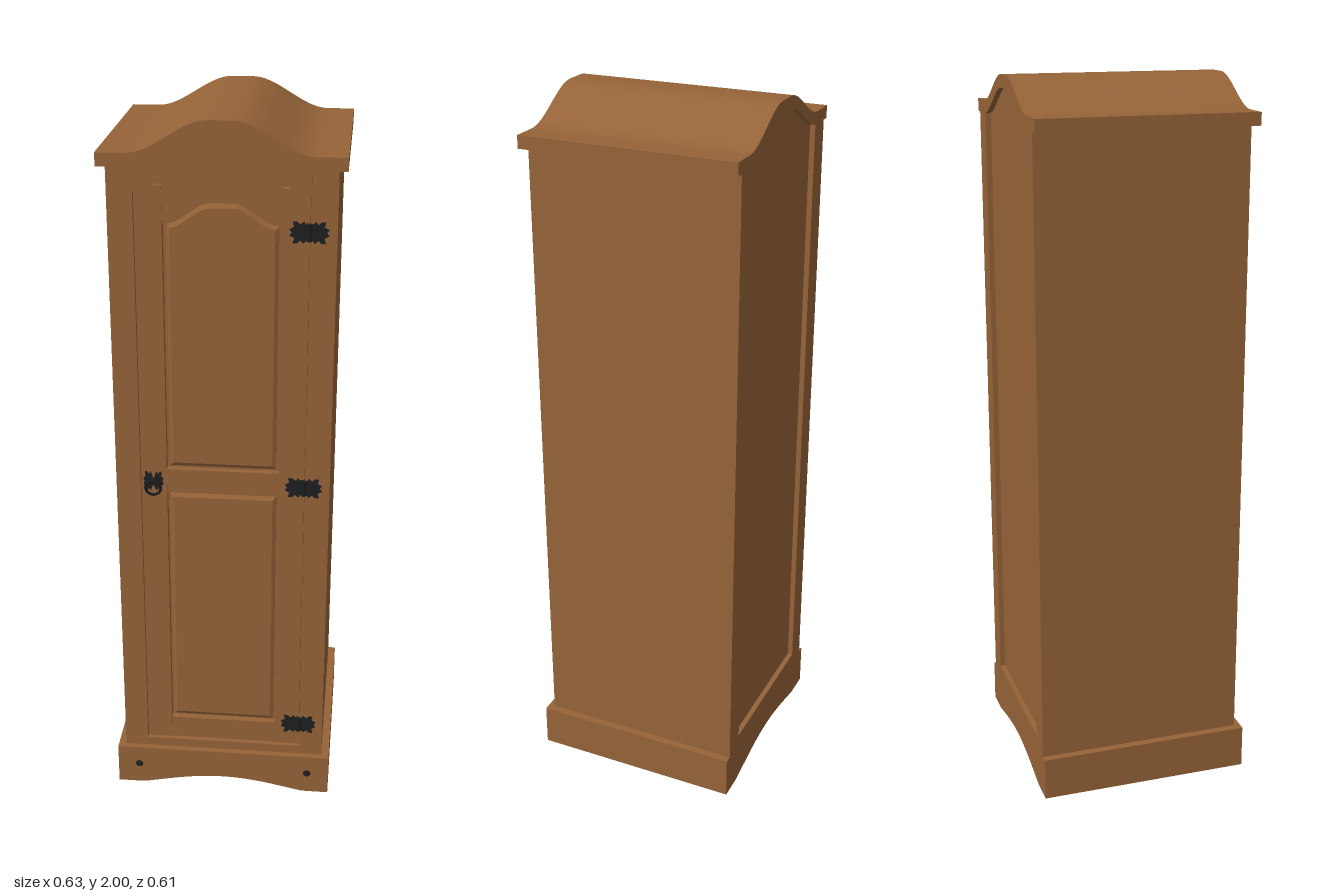
import * as THREE from 'three';
import { toCreasedNormals } from 'three/addons/utils/BufferGeometryUtils.js';

export function createModel() {
  const group = new THREE.Group();
  const wood = new THREE.MeshStandardMaterial({ color: 0x966338 });
  wood.name = 'waxedPine';
  const iron = new THREE.MeshStandardMaterial({ color: 0x1d1e20 });
  iron.name = 'blackIron';

  const add = (name, geometry, material = wood, parent = group) => {
    const mesh = new THREE.Mesh(geometry, material);
    mesh.name = name;
    parent.add(mesh);
    return mesh;
  };
  const box = (name, x0, x1, y0, y1, z0, z1) =>
    add(name, new THREE.BoxGeometry(x1 - x0, y1 - y0, z1 - z0)
      .translate((x0 + x1) / 2, (y0 + y1) / 2, (z0 + z1) / 2));
  const shapeOf = (pts) => new THREE.Shape(pts.map(([x, y]) => new THREE.Vector2(x, y)));
  const extrude = (name, pts, z0, z1) => {
    const g = new THREE.ExtrudeGeometry(shapeOf(pts), { depth: z1 - z0, bevelEnabled: false });
    return add(name, toCreasedNormals(g.translate(0, 0, z0), 0.5));
  };

  // Curves as points from left to right
  const curve = (half, f, n = 40) =>
    Array.from({ length: n + 1 }, (_, i) => {
      const x = -half + (2 * half * i) / n;
      return [x, f(x)];
    });
  const swell = (x, outer, inner) => 1 - THREE.MathUtils.smoothstep(Math.abs(x), inner, outer);
  const crown = (drop) => (x) => 1.915 - drop + 0.085 * swell(x, 0.24, 0.03);
  const band = (half, top, bottom) => [...curve(half, bottom), ...curve(half, top).reverse()];

  // Carcass: side walls with a recessed core between them
  const inner = 0.226, side = 0.293, back = -0.303, front = 0.285;
  for (const s of [-1, 1]) {
    const a = s * inner, b = s * side;
    box('sideWall', Math.min(a, b), Math.max(a, b), 0.12, 1.885, back, front);
  }
  extrude('carcassCore', band(inner, crown(0.03), () => 0.1), -0.288, 0.262);
  box('backBottomRail', -inner, inner, 0.12, 0.155, back, -0.288);
  box('frontSill', -inner, inner, 0.12, 0.15, 0.262, front);

  // Plinth with arched underside, and crown roof, each with a front board
  const arch = (x) => 0.035 * Math.pow(Math.cos((Math.min(Math.abs(x) / 0.24, 1) * Math.PI) / 2), 1.1);
  const plinth = band(0.315, () => 0.123, arch);
  extrude('plinth', plinth, back, front);
  extrude('plinthFrontBoard', plinth, front, 0.303);
  const roof = band(0.315, crown(0), crown(0.035));
  extrude('crownRoof', roof, back, front);
  extrude('crownFrontBoard', roof, front, 0.303);

  // Stepped mouldings below the crown
  extrude('upperMoulding', band(inner, crown(0.034), crown(0.07)), 0.262, 0.296);
  extrude('lowerMoulding', band(inner, crown(0.069), crown(0.103)), 0.262, 0.29);

  // Door frame
  const stile = 0.153;
  for (const s of [-1, 1]) {
    const a = s * stile, b = s * 0.224;
    box('doorStile', Math.min(a, b), Math.max(a, b), 0.157, 1.83, 0.262, 0.283);
  }
  const archTop = (x) => 1.74 + 0.055 * swell(x, 0.15, 0.03);
  extrude('doorTopRail', band(stile, crown(0.1), archTop), 0.262, 0.28);
  box('doorMiddleRail', -stile, stile, 0.972, 1.042, 0.262, 0.28);
  box('doorBottomRail', -stile, stile, 0.157, 0.225, 0.262, 0.28);

  // Raised door panels with bevelled edges
  const panel = (name, pts) => {
    const g = new THREE.ExtrudeGeometry(shapeOf(pts), {
      depth: 0.004, bevelThickness: 0.006, bevelSize: 0.01, bevelOffset: -0.01, bevelSegments: 1,
    });
    add(name, toCreasedNormals(g.translate(0, 0, 0.264), 0.4));
  };
  panel('upperDoorPanel',
    band(0.145, (x) => 1.728 + 0.055 * swell(x, 0.145, 0.03), () => 1.05).filter(([x, y], i, a) =>
      y !== 1.05 || i === 0 || i === (a.length / 2 - 1)));
  panel('lowerDoorPanel', [[-0.147, 0.233], [0.147, 0.233], [0.147, 0.965], [-0.147, 0.965]]);

  // Butterfly ironwork: one scalloped leaf, mirrored to make a plate
  const half = [[0.006, -0.016], [0.014, -0.028], [0.024, -0.02], [0.03, -0.027], [0.042, -0.028],
    [0.038, -0.014], [0.05, -0.008], [0.044, 0]];
  const leaf = [...half, ...half.slice(0, -1).reverse().map(([x, y]) => [x, -y])];
  const plate = (parent, scale) => {
    for (const s of [-1, 1]) {
      const pts = leaf.map(([x, y]) => [s * x * scale, y]);
      if (s < 0) pts.reverse();
      add('ironLeaf', new THREE.ExtrudeGeometry(shapeOf(pts), { depth: 0.005, bevelEnabled: false }), iron, parent);
    }
  };
  for (const y of [1.72, 1.005, 0.23]) {
    const hinge = new THREE.Group();
    hinge.name = 'hinge';
    hinge.position.set(0.222, y, front - 0.001);
    plate(hinge, 1);
    add('hingeBarrel', new THREE.CylinderGeometry(0.008, 0.008, 0.045, 12), iron, hinge).position.z = 0.002;
    group.add(hinge);
  }

  // Ring pull
  const pull = new THREE.Group();
  pull.name = 'ringPull';
  pull.position.set(-0.19, 1.007, 0.283);
  plate(pull, 0.55);
  add('pullBoss', new THREE.CylinderGeometry(0.008, 0.01, 0.016, 12).rotateX(Math.PI / 2), iron, pull)
    .position.z = 0.008;
  add('pullRing', new THREE.TorusGeometry(0.021, 0.004, 8, 24), iron, pull).position.set(0, -0.015, 0.014);
  group.add(pull);

  // Plinth studs
  for (const s of [-1, 1]) {
    add('plinthStud', new THREE.CylinderGeometry(0.008, 0.012, 0.006, 12).rotateX(Math.PI / 2), iron)
      .position.set(s * 0.252, 0.065, 0.305);
  }
  return group;
}
